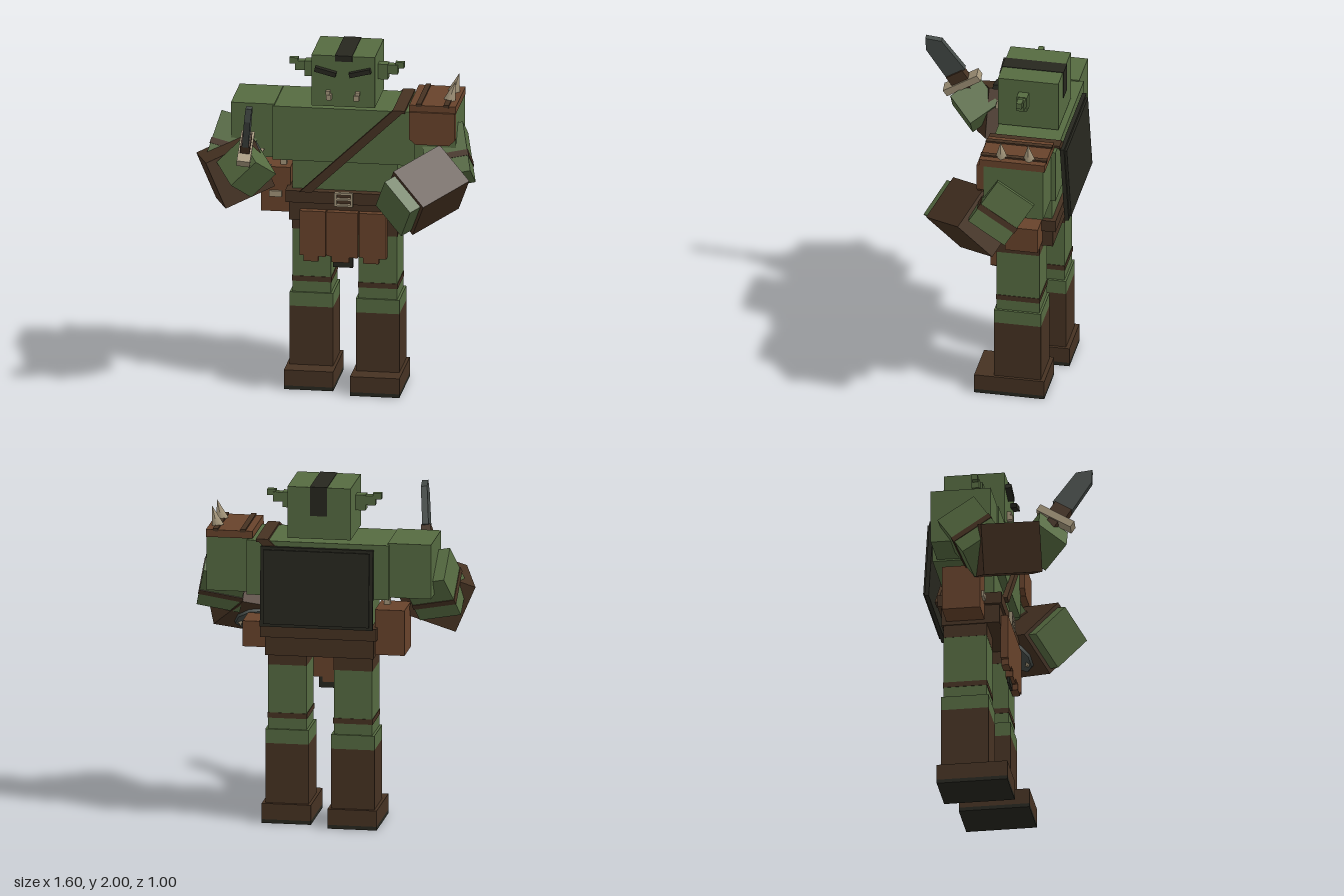
import * as THREE from 'three';

const mat = (name, color, double) => {
  const m = new THREE.MeshStandardMaterial({ color });
  m.name = name;
  if (double) m.side = THREE.DoubleSide;
  return m;
};

export function createModel() {
  const root = new THREE.Group();
  root.name = 'warrior';
  const skin = mat('green skin', 0x566b41);
  const hide = mat('dark brown hide', 0x463222);
  const leather = mat('red brown leather', 0x68432b);
  const dark = mat('black cloth', 0x27271f);
  const bone = mat('bone', 0xa3957a);
  const metal = mat('dull metal', 0x444a47);

  const add = (name, geo, material, parent = root) => {
    const m = new THREE.Mesh(geo, material);
    m.name = name;
    parent.add(m);
    return m;
  };
  // Box given by its extents on each axis
  const box = (name, material, [x0, x1], [y0, y1], [z0, z1], parent = root) => {
    const m = add(name, new THREE.BoxGeometry(x1 - x0, y1 - y0, z1 - z0), material, parent);
    m.position.set((x0 + x1) / 2, (y0 + y1) / 2, (z0 + z1) / 2);
    return m;
  };
  // Flat outline given thickness along z
  const slab = (name, material, pts, z0, z1, parent = root) => {
    const shape = new THREE.Shape(pts.map(p => new THREE.Vector2(...p)));
    const g = new THREE.ExtrudeGeometry(shape, { depth: z1 - z0, bevelEnabled: false });
    const m = add(name, g, material, parent);
    m.position.z = z0;
    return m;
  };
  // Group whose local z follows zDir and local x lies near xDir
  const frame = (name, pos, xDir, zDir) => {
    const g = new THREE.Group();
    g.name = name;
    const Z = new THREE.Vector3(...zDir).normalize();
    const Y = Z.clone().cross(new THREE.Vector3(...xDir)).normalize();
    const X = Y.clone().cross(Z);
    g.quaternion.setFromRotationMatrix(new THREE.Matrix4().makeBasis(X, Y, Z));
    g.position.set(...pos);
    root.add(g);
    return g;
  };

  // Head with painted crest, brows, tusks and stepped ears
  box('head', skin, [-0.135, 0.23], [1.695, 1.997], [-0.405, -0.055]);
  box('crestTop', dark, [0, 0.1], [1.994, 2], [-0.408, -0.052]);
  box('crestFront', dark, [0, 0.1], [1.965, 2], [-0.056, -0.051]);
  box('crestBack', dark, [0, 0.1], [1.83, 2], [-0.41, -0.404]);
  for (const s of [-1, 1]) {
    const cx = 0.0475;
    const side = (a, b) => [cx + s * a, cx + s * b].sort((p, q) => p - q);
    const brow = box('brow', dark, side(0.037, 0.162), [1.893, 1.92], [-0.06, -0.02]);
    brow.rotation.z = s * 0.25;
    box('tuskBase', bone, side(0.065, 0.095), [1.74, 1.77], [-0.06, -0.022]);
    box('tuskTip', bone, side(0.073, 0.097), [1.77, 1.79], [-0.055, -0.03]);
    box('earBase', skin, side(0.18, 0.24), [1.83, 1.92], [-0.235, -0.175]);
    box('earMiddle', skin, side(0.23, 0.295), [1.86, 1.915], [-0.228, -0.184]);
    box('earTip', skin, side(0.28, 0.33), [1.895, 1.93], [-0.222, -0.19]);
  }

  // Torso, hips and belt
  box('chest', skin, [-0.36, 0.46], [1.36, 1.68], [-0.435, -0.055]);
  box('waist', skin, [-0.25, 0.355], [1.15, 1.36], [-0.395, -0.1]);
  box('hips', hide, [-0.265, 0.36], [1.0, 1.11], [-0.4, -0.065]);
  box('belt', hide, [-0.285, 0.385], [1.11, 1.18], [-0.42, -0.05]);
  for (const y of [1.102, 1.138, 1.172]) box('buckleBar', bone, [0, 0.105], [y, y + 0.012], [-0.055, -0.03]);
  for (const x of [0, 0.093]) box('buckleSide', bone, [x, x + 0.012], [1.102, 1.184], [-0.055, -0.03]);

  // Strap across the chest, over the shoulder and down the back
  const strap = [[-0.2, 1.18], [-0.13, 1.18], [0.405, 1.69], [0.335, 1.69]];
  slab('strapFront', hide, strap, -0.06, -0.03);
  slab('strapBack', hide, strap, -0.448, -0.43);
  box('strapTop', hide, [0.335, 0.405], [1.675, 1.692], [-0.448, -0.03]);

  // Slanted board on the back with clipped rim
  const board = new THREE.Group();
  board.name = 'backBoard';
  board.position.set(0.05, 1.422, -0.473);
  board.rotation.x = 0.06;
  root.add(board);
  box('boardPanel', dark, [-0.325, 0.325], [-0.232, 0.232], [-0.008, 0.016], board);
  box('boardFace', dark, [-0.305, 0.305], [-0.215, 0.215], [-0.02, 0], board);

  // Ragged loincloth
  const flap = (x0, x1, y) => {
    const w = (x1 - x0) / 5;
    slab('loinclothPanel', leather, [[x0, 1.07], [x0, y + 0.035], [x0 + w * 0.8, y + 0.035], [x0 + w * 0.8, y],
      [x0 + w * 3.6, y], [x0 + w * 3.6, y + 0.03], [x1, y + 0.03], [x1, 1.07]].reverse(), -0.068, -0.025);
  };
  flap(-0.2, -0.05, 0.77);
  flap(-0.043, 0.135, 0.77);
  flap(0.142, 0.3, 0.77);
  box('loinclothLining', dark, [-0.01, 0.105], [0.735, 1.05], [-0.06, -0.045]);

  // Legs, the right one set a little further back
  for (const [x, z, name] of [[0.245, 0, 'leftLeg'], [-0.146, -0.068, 'rightLeg']]) {
    const leg = new THREE.Group();
    leg.name = name;
    leg.position.set(x, 0, z);
    root.add(leg);
    box('thigh', skin, [-0.111, 0.111], [0.5, 0.925], [-0.32, -0.072], leg);
    box('shorts', hide, [-0.112, 0.112], [0.925, 1.01], [-0.321, -0.071], leg);
    box('kneeBand', hide, [-0.114, 0.114], [0.612, 0.643], [-0.323, -0.069], leg);
    box('calf', skin, [-0.125, 0.125], [0.465, 0.548], [-0.332, -0.06], leg);
    box('boot', hide, [-0.125, 0.125], [0.1, 0.465], [-0.332, -0.06], leg);
    box('foot', hide, [-0.142, 0.142], [0.022, 0.115], [-0.355, 0.052], leg);
    box('sole', dark, [-0.142, 0.142], [0, 0.022], [-0.355, 0.052], leg);
  }

  // Pouches on the belt
  box('rightPouch', leather, [-0.44, -0.27], [1.02, 1.285], [-0.37, -0.15]);
  box('pouchClasp', bone, [-0.39, -0.32], [1.11, 1.145], [-0.152, -0.135]);
  box('pouchBone', bone, [-0.335, -0.3], [1.28, 1.36], [-0.24, -0.2]);
  box('leftPouch', leather, [0.36, 0.5], [1.03, 1.18], [-0.34, -0.15]);

  // Shoulders, upper arms and gauntlets
  const arm = (side, top, bottom, center, xDir, zDir, w, h) => {
    const d = bottom.map((b, i) => b - top[i]);
    const len = Math.hypot(...d);
    const upper = frame(side + 'UpperArm', top, [1, 0, 0], d);
    box('upperArm', skin, [-0.125, 0.125], [-0.125, 0.125], [-0.02, len + 0.03], upper);
    box('armBand', hide, [-0.129, 0.129], [-0.129, 0.129], [len * 0.6, len * 0.6 + 0.035], upper);
    const fore = frame(side + 'Forearm', center, xDir, zDir);
    box('gauntlet', hide, [-w / 2, w / 2], [-h / 2, h / 2], [-0.17, 0.17], fore);
    return fore;
  };
  box('leftShoulder', skin, [0.45, 0.695], [1.37, 1.688], [-0.41, -0.065]);
  box('rightShoulder', skin, [-0.6, -0.35], [1.37, 1.688], [-0.41, -0.065]);
  const left = arm('left', [0.605, 1.5, -0.23], [0.66, 1.3, -0.1],
    [0.538, 1.247, 0.03], [0.676, -0.605, 0.428], [-0.68, -0.28, 0.677], 0.28, 0.305);
  const right = arm('right', [-0.55, 1.5, -0.23], [-0.61, 1.3, -0.1],
    [-0.56, 1.315, 0.02], [0.86, 0.37, -0.33], [0.3, 0.13, 0.94], 0.31, 0.29);
  box('leftHand', skin, [-0.12, 0.12], [-0.13, 0.13], [0.1, 0.245], left);
  const fist = box('rightHand', skin, [-0.1, 0.1], [-0.1, 0.1], [-0.1, 0.1]);
  fist.position.set(-0.47, 1.39, 0.215);
  fist.rotation.set(0.55, 0.55, 0.6);

  // Studded plate on the hidden face of each gauntlet
  const studPlate = (parent, pos, rot) => {
    const g = new THREE.Group();
    g.name = 'studdedPlate';
    g.position.set(...pos);
    g.rotation.set(...rot);
    parent.add(g);
    add('plate', new THREE.CylinderGeometry(0.1, 0.1, 0.02, 8), metal, g);
    for (const x of [-1, 1]) for (const z of [-1, 1]) {
      add('stud', new THREE.ConeGeometry(0.018, 0.03, 4), bone, g).position.set(x * 0.05, 0.022, z * 0.05);
    }
  };
  studPlate(left, [0, -0.16, 0], [Math.PI, 0, 0]);
  studPlate(right, [0.162, 0, 0], [0, 0, -Math.PI / 2]);

  // Spiked shoulder guard
  box('shoulderGuard', leather, [0.43, 0.698], [1.685, 1.728], [-0.42, -0.04]);
  slab('guardFront', leather, [[0.43, 1.69], [0.43, 1.53], [0.465, 1.497], [0.66, 1.497], [0.695, 1.53], [0.695, 1.69]],
    -0.064, -0.025);
  for (const x of [0.47, 0.628]) box('guardStrip', hide, [x, x + 0.03], [1.72, 1.737], [-0.422, -0.038]);
  for (const z of [-0.32, -0.16]) {
    const spike = add('spike', new THREE.ConeGeometry(0.036, 0.12, 4), bone);
    spike.position.set(0.662, 1.785, z);
    spike.rotation.z = -0.28;
  }

  // Knife: local y is the blade direction, local x its width
  const knife = frame('knife', [-0.463, 1.53, 0.29], [0, -0.52, 0.85], [1, -0.11, -0.07]);
  // Local y must point up along the blade
  const up = new THREE.Vector3(0, 1, 0).applyQuaternion(knife.quaternion).y > 0 ? 1 : -1;
  const blade = [[-0.07, 0.08], [-0.057, 0.31], [0.015, 0.37], [0.055, 0.3], [0.058, 0.08]];
  const outline = blade.map(([x, y]) => [x, y * up]);
  slab('blade', metal, up > 0 ? outline.reverse() : outline, -0.018, 0.018, knife);
  const along = (a, b) => [a * up, b * up].sort((p, q) => p - q);
  box('guard', bone, [-0.115, 0.115], along(-0.022, 0.022), [-0.038, 0.038], knife);
  box('collar', hide, [-0.055, 0.055], along(0.02, 0.085), [-0.028, 0.028], knife);
  box('grip', hide, [-0.03, 0.03], along(-0.25, -0.02), [-0.026, 0.026], knife);
  return root;
}
